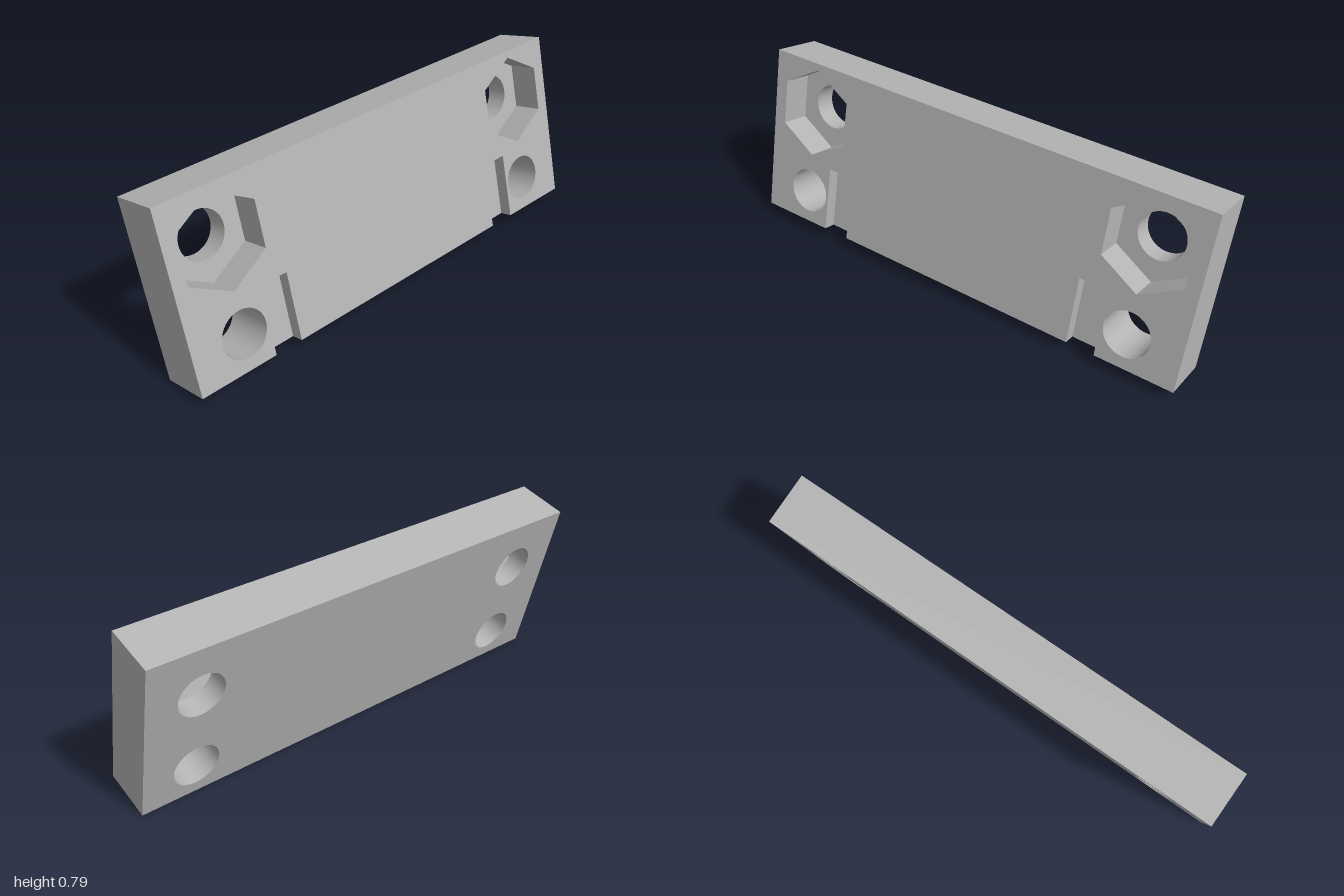
import * as THREE from 'three';

// plate size, tilt and feature positions (plate-local: x length, y height, z thickness)
const L = 2.076, H = 0.755, T = 0.2265;
const TURN = Math.PI / 6, TILT = THREE.MathUtils.degToRad(14);
const HOLE_X = 0.808, HEX_Y = 0.15, LOW_Y = -0.227;
const HOLE_R = 0.1, HEX_R = 0.198, HEX_DEPTH = 0.132;
const SLOT_IN = 0.572, SLOT_OUT = 0.697, SLOT_TOP = -0.08, SLOT_DEPTH = 0.055;
const SIDES = [-1, 1];

const steel = new THREE.MeshStandardMaterial({ color: 0xb4b4b4, side: THREE.DoubleSide });
steel.name = 'plainGrey';

const polygon = (pts) => new THREE.Shape(pts.map(([x, y]) => new THREE.Vector2(x, y)));

function circlePath(x, y) {
  return new THREE.Path().absarc(x, y, HOLE_R, 0, Math.PI * 2, true);
}

function hexPoints(x, y) {
  return Array.from({ length: 6 }, (_, i) => {
    const a = Math.PI / 2 + (i * Math.PI) / 3;
    return [x + HEX_R * Math.cos(a), y + HEX_R * Math.sin(a)];
  });
}

// rectangle with two notches of the given height cut into one long edge
function notchedOutline(y0, y1, notchY) {
  return polygon([
    [-L / 2, y0], [-SLOT_OUT, y0], [-SLOT_OUT, notchY], [-SLOT_IN, notchY], [-SLOT_IN, y0],
    [SLOT_IN, y0], [SLOT_IN, notchY], [SLOT_OUT, notchY], [SLOT_OUT, y0],
    [L / 2, y0], [L / 2, y1], [-L / 2, y1],
  ]);
}

// tube wall along z between two depths
function bore(radius, segments, z0, z1, faceted) {
  let g = new THREE.CylinderGeometry(radius, radius, z1 - z0, segments, 1, true);
  g.rotateX(Math.PI / 2);
  if (faceted) {
    g = g.toNonIndexed();
    g.computeVertexNormals();
  }
  return g.translate(0, 0, (z0 + z1) / 2);
}

export function createModel() {
  const model = new THREE.Group();
  model.name = 'mountingPlate';
  const plate = new THREE.Group();
  plate.name = 'tiltedPlate';
  model.add(plate);

  const add = (name, geometry, x = 0, y = 0, z = 0) => {
    const mesh = new THREE.Mesh(geometry, steel);
    mesh.name = name;
    mesh.position.set(x, y, z);
    plate.add(mesh);
  };

  const front = T / 2, back = -T / 2;
  const hexFloor = front - HEX_DEPTH, slotFloor = front - SLOT_DEPTH;

  // front face: notched for the slots, with nut pockets and lower holes
  const frontShape = notchedOutline(-H / 2, H / 2, SLOT_TOP);
  // back face: four round holes
  const backShape = polygon([[-L / 2, -H / 2], [L / 2, -H / 2], [L / 2, H / 2], [-L / 2, H / 2]]);
  for (const s of SIDES) {
    const x = s * HOLE_X;
    frontShape.holes.push(polygon(hexPoints(x, HEX_Y)), circlePath(x, LOW_Y));
    backShape.holes.push(circlePath(x, HEX_Y), circlePath(x, LOW_Y));
  }
  add('frontFace', new THREE.ShapeGeometry(frontShape, 48), 0, 0, front);
  const backGeometry = new THREE.ShapeGeometry(backShape, 48).rotateY(Math.PI);
  add('backFace', backGeometry, 0, 0, back);

  // top, ends and notched bottom
  add('topFace', new THREE.PlaneGeometry(L, T).rotateX(-Math.PI / 2), 0, H / 2, 0);
  for (const s of SIDES) {
    add('endFace', new THREE.PlaneGeometry(T, H).rotateY((s * Math.PI) / 2), (s * L) / 2, 0, 0);
  }
  const bottomShape = notchedOutline(front, back, slotFloor);
  add('bottomFace', new THREE.ShapeGeometry(bottomShape).rotateX(Math.PI / 2), 0, -H / 2, 0);

  const slotW = SLOT_OUT - SLOT_IN, slotH = SLOT_TOP + H / 2;
  const slotY = SLOT_TOP - slotH / 2, slotZ = front - SLOT_DEPTH / 2;
  for (const s of SIDES) {
    const x = s * HOLE_X;

    // through holes
    add('lowerHole', bore(HOLE_R, 48, back, front), x, LOW_Y);
    add('upperHole', bore(HOLE_R, 48, back, hexFloor), x, HEX_Y);

    // hexagonal nut pocket
    add('nutPocketWall', bore(HEX_R, 6, hexFloor, front, true), x, HEX_Y);
    const floor = polygon(hexPoints(0, 0));
    floor.holes.push(circlePath(0, 0));
    add('nutPocketFloor', new THREE.ShapeGeometry(floor, 48), x, HEX_Y, hexFloor);

    // shallow slot open at the bottom edge
    const slotX = (s * (SLOT_IN + SLOT_OUT)) / 2;
    add('slotFloor', new THREE.PlaneGeometry(slotW, slotH), slotX, slotY, slotFloor);
    add('slotTop', new THREE.PlaneGeometry(slotW, SLOT_DEPTH).rotateX(Math.PI / 2), slotX, SLOT_TOP, slotZ);
    for (const e of SIDES) {
      const wall = new THREE.PlaneGeometry(SLOT_DEPTH, slotH).rotateY((-e * Math.PI) / 2);
      add('slotWall', wall, slotX + (e * slotW) / 2, slotY, slotZ);
    }
  }

  // turn about the vertical and lean back, lowest edge on the ground
  plate.rotation.set(-TILT, TURN, 0, 'YXZ');
  plate.position.y = (H * Math.cos(TILT) + T * Math.sin(TILT)) / 2;
  return model;
}
